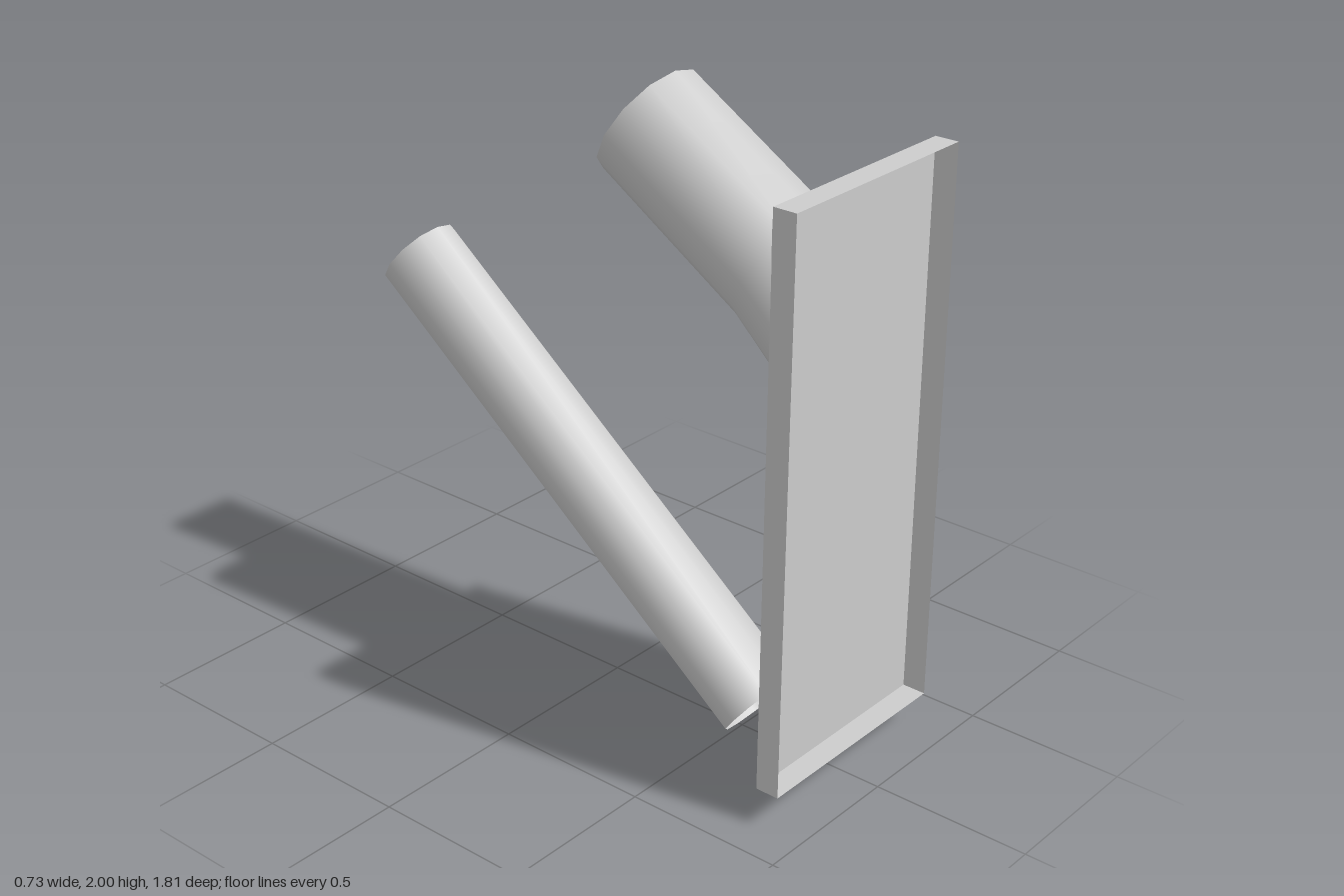
import * as THREE from 'three';

const SIDES = 12;

// Ring of points: centre (0, y, z), half width rx, and the vector (uy, uz) to its top point.
// skew pushes the side points along that vector.
function ring(y, z, rx, uy, uz, skew = 0) {
  return Array.from({ length: SIDES }, (_, j) => {
    const a = (j / SIDES) * Math.PI * 2;
    const k = Math.cos(a) + skew * Math.sin(a) ** 2;
    return new THREE.Vector3(rx * Math.sin(a), y + uy * k, z + uz * k);
  });
}

// Smooth open skin through a list of rings
function loft(rings) {
  const index = [];
  for (let i = 0; i < rings.length - 1; i++) {
    for (let j = 0; j < SIDES; j++) {
      const n = (j + 1) % SIDES;
      const a = i * SIDES + j, b = i * SIDES + n;
      index.push(a, b, b + SIDES, a, b + SIDES, a + SIDES);
    }
  }
  const geometry = new THREE.BufferGeometry().setFromPoints(rings.flat());
  geometry.setIndex(index);
  geometry.computeVertexNormals();
  return geometry;
}

export function createModel() {
  const group = new THREE.Group();
  const grey = new THREE.MeshStandardMaterial({ color: 0xcccccc, side: THREE.DoubleSide });
  grey.name = 'light grey metal';

  const add = (name, geometry, x = 0, y = 0, z = 0) => {
    const mesh = new THREE.Mesh(geometry, grey);
    mesh.name = name;
    mesh.position.set(x, y, z);
    group.add(mesh);
  };

  // Back plate: a shallow tray, open at the front (+z side of the box removed)
  const tray = new THREE.BoxGeometry(0.726, 1.75, 0.075);
  const faces = Array.from(tray.index.array);
  faces.splice(24, 6);
  tray.setIndex(faces);
  tray.clearGroups();
  add('plate', tray, 0, 0.982, 0.8705);

  // Upper tube: flared at the plate, bending into a straight open pipe
  const base = ring(1.341, 0.833, 0.225, 0.28, 0, 0.09);
  add('upperTube', loft([
    base,
    ring(1.533, 0.6, 0.191, 0.165, 0.1),
    ring(1.839, 0.113, 0.188, 0.161, 0.098),
  ]));

  // Tube end cap on the plate, its normals pointing into the tube
  const cap = new THREE.ShapeGeometry(new THREE.Shape(base.map((p) => new THREE.Vector2(p.x, p.y))));
  const normals = cap.getAttribute('normal');
  for (let i = 0; i < normals.count; i++) normals.setXYZ(i, 0, 0, -1);
  add('upperTubeCap', cap, 0, 0, 0.836);

  // Lower tube: a separate straight open pipe
  add('lowerTube', loft([
    ring(0.106, 0.567, 0.133, 0.106, 0.082),
    ring(1.194, -0.823, 0.133, 0.106, 0.082),
  ]));

  // Small square studs on the rear of the plate
  for (const side of [-1, 1]) {
    const name = side > 0 ? 'leftStud' : 'rightStud';
    add(name, new THREE.BoxGeometry(0.105, 0.107, 0.048), side * 0.248, 1.741, 0.809);
  }

  return group;
}
